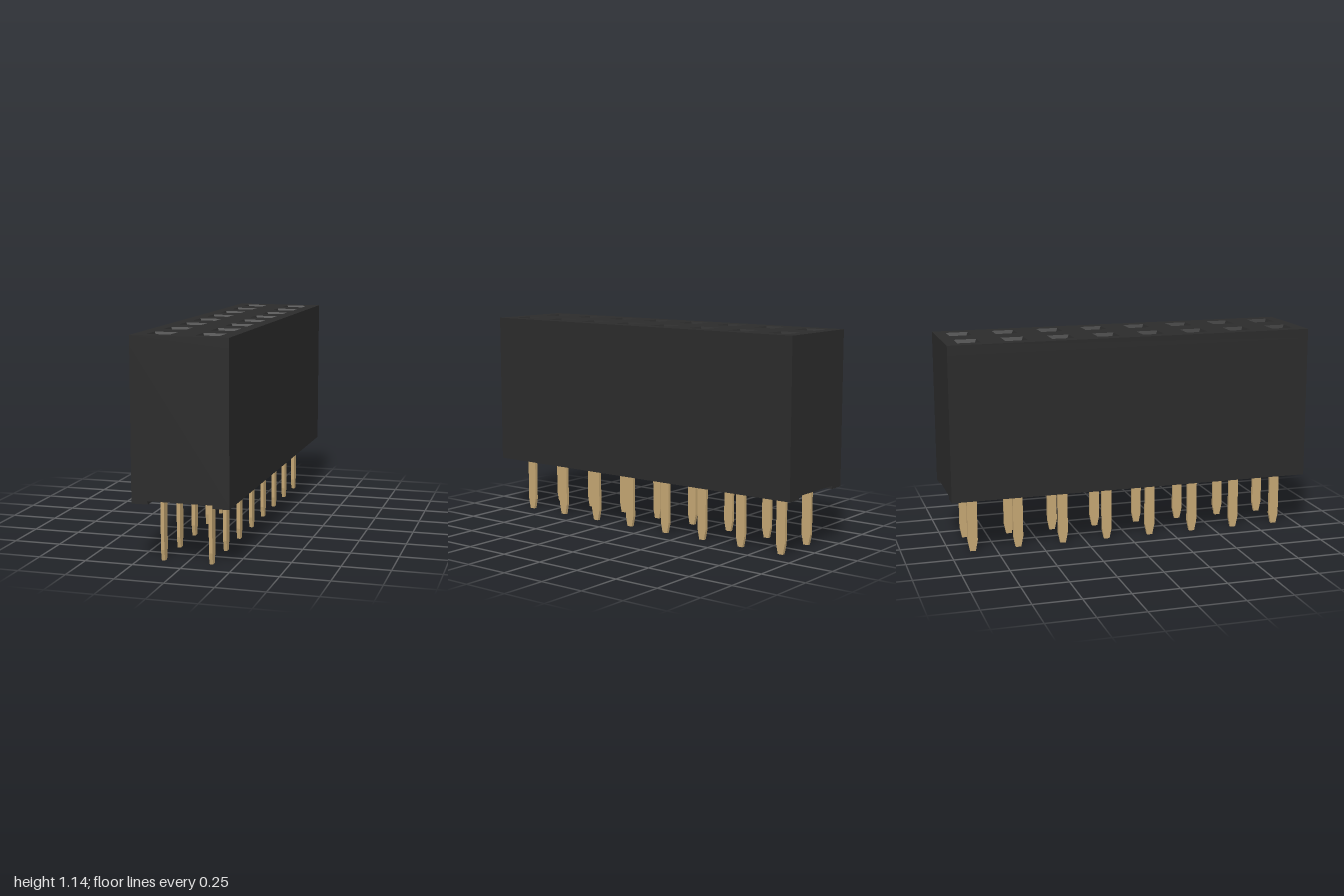
import * as THREE from 'three';

const TOP = 1.14, FLOOR = 0.327, BASE = 0.31, PITCH = 0.25;
const MOUTH = 0.06, SHAFT = 0.033, FUNNEL = 0.05; // half widths and depth of a socket

function rect(PathType, cx, cy, hw, hh) {
  return new PathType([[-1, -1], [1, -1], [1, 1], [-1, 1]]
    .map(([a, b]) => new THREE.Vector2(cx + a * hw, cy + b * hh)));
}

// Centres of the two rows of eight contacts
function contactCentres() {
  const list = [];
  for (const x of [-PITCH / 2, PITCH / 2])
    for (let i = 0; i < 8; i++) list.push([x, (i - 3.5) * PITCH]);
  return list;
}

// Block with square sockets; below the mouth each socket narrows to a shaft
function housingGeometry(centres) {
  const plan = rect(THREE.Shape, 0, 0, 0.25, 1);
  for (const [x, z] of centres) plan.holes.push(rect(THREE.Path, x, z, MOUTH, MOUTH));
  const geo = new THREE.ExtrudeGeometry(plan, { depth: 2, steps: 2, bevelEnabled: false });
  geo.rotateX(-Math.PI / 2);
  const levels = [FLOOR, TOP - FUNNEL, TOP];
  const p = geo.attributes.position;
  for (let i = 0; i < p.count; i++) {
    const level = Math.round(p.getY(i));
    p.setY(i, levels[level]);
    if (level < 2 && Math.abs(p.getX(i)) < 0.24) {
      const cx = Math.sign(p.getX(i)) * PITCH / 2;
      const cz = (Math.floor(p.getZ(i) / PITCH) + 0.5) * PITCH;
      p.setX(i, cx + (p.getX(i) - cx) * SHAFT / MOUTH);
      p.setZ(i, cz + (p.getZ(i) - cz) * SHAFT / MOUTH);
    }
  }
  geo.computeVertexNormals();
  return geo;
}

// Thin flat pin with a tapered tip, standing in the y-z plane
function pinGeometry() {
  const outline = new THREE.Shape([
    [-0.015, 0], [0.015, 0], [0.027, 0.058], [0.027, 0.7], [-0.027, 0.7], [-0.027, 0.058],
  ].map(([a, b]) => new THREE.Vector2(a, b)));
  const geo = new THREE.ExtrudeGeometry(outline, { depth: 0.018, bevelEnabled: false });
  geo.translate(0, 0, -0.009);
  return geo.rotateY(Math.PI / 2);
}

export function createModel() {
  const group = new THREE.Group();
  const plastic = new THREE.MeshStandardMaterial({ color: 0x2b2b2b, flatShading: true });
  const metal = new THREE.MeshStandardMaterial({ color: 0xc4a673, flatShading: true });
  const add = (name, geo, mat, x = 0, y = 0, z = 0) => {
    const mesh = new THREE.Mesh(geo, mat);
    mesh.name = name;
    mesh.position.set(x, y, z);
    group.add(mesh);
  };

  const centres = contactCentres();
  add('housing', housingGeometry(centres), plastic);

  // Rails along both lower edges leave a shallow channel between them
  const rail = new THREE.BoxGeometry(0.085, FLOOR - BASE, 2);
  for (const s of [-1, 1])
    add(s > 0 ? 'leftRail' : 'rightRail', rail, plastic, s * 0.2075, (FLOOR + BASE) / 2, 0);

  // Socket floors and pins
  const plug = new THREE.BoxGeometry(SHAFT * 2, 0.08, SHAFT * 2);
  const pin = pinGeometry();
  for (const [x, z] of centres) {
    add('socketFloor', plug, plastic, x, FLOOR + 0.04, z);
    add('pin', pin, metal, x, 0, z);
  }
  return group;
}
